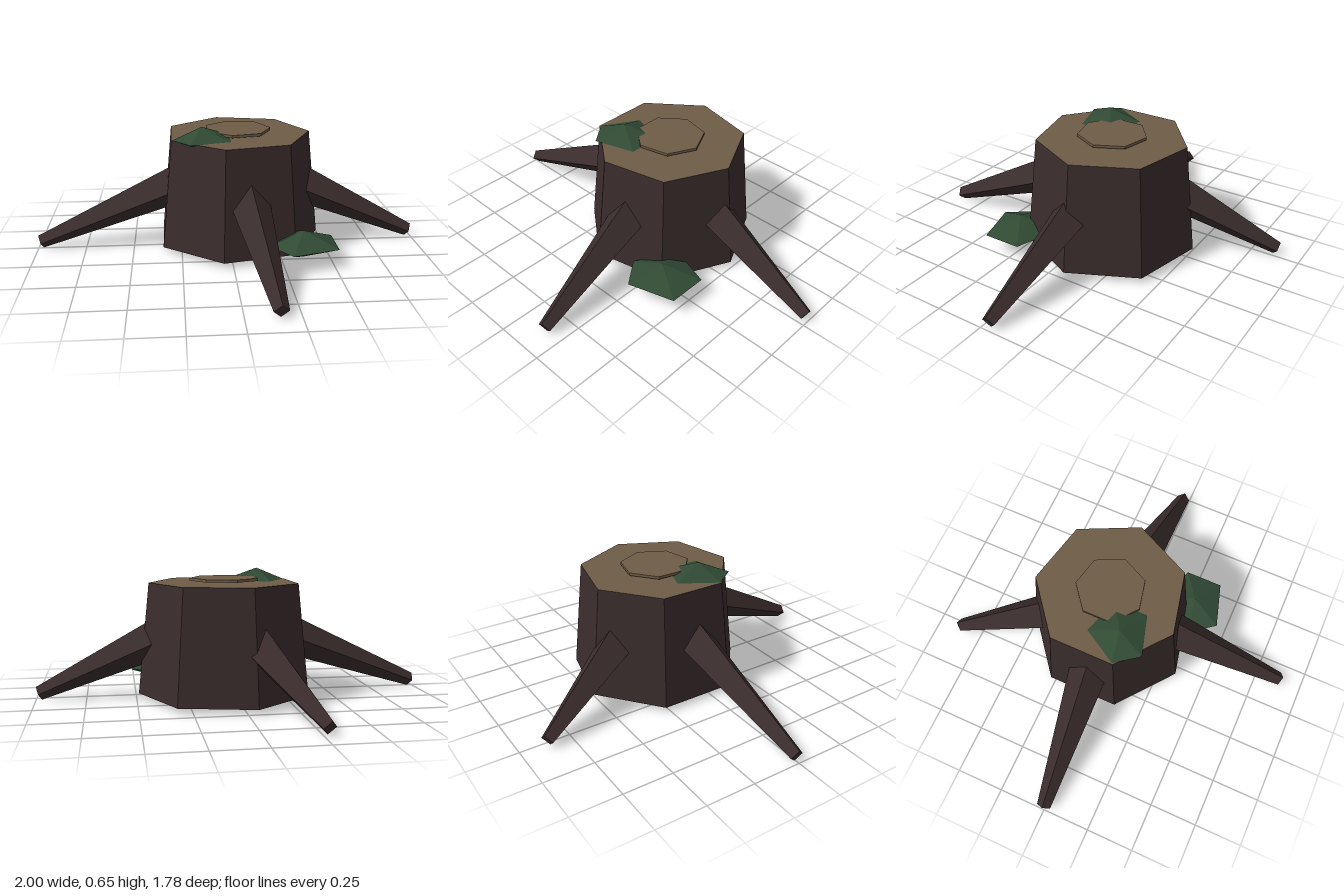
import * as THREE from 'three';

const bark = new THREE.MeshStandardMaterial({ color: 0x3a2c2c, flatShading: true, side: THREE.DoubleSide });
bark.name = 'darkBark';
const wood = new THREE.MeshStandardMaterial({ color: 0x6e5c46, flatShading: true, side: THREE.DoubleSide });
wood.name = 'cutWood';
const moss = new THREE.MeshStandardMaterial({ color: 0x304a34, flatShading: true });
moss.name = 'moss';

const SIDES = 7;
const CX = 0.05, CZ = -0.084; // trunk axis

function add(group, name, geometry, material, x = 0, y = 0, z = 0) {
  const mesh = new THREE.Mesh(geometry, material);
  mesh.name = name;
  mesh.position.set(x, y, z);
  group.add(mesh);
  return mesh;
}

// Four-sided tapering root running outward and down from inside the trunk
function addRoot(group, name, tipX, tipZ) {
  const tip = new THREE.Vector3(tipX, 0.037, tipZ);
  const out = new THREE.Vector3(tipX - CX, 0, tipZ - CZ).normalize();
  const start = new THREE.Vector3(CX, 0.345, CZ).addScaledVector(out, 0.25);
  const along = tip.clone().sub(start);
  const geometry = new THREE.CylinderGeometry(0.036, 0.11, along.length(), 4);
  const yAxis = along.clone().normalize();
  const xAxis = new THREE.Vector3().crossVectors(yAxis, new THREE.Vector3(0, 1, 0)).normalize();
  const zAxis = new THREE.Vector3().crossVectors(xAxis, yAxis);
  const mid = start.add(tip).multiplyScalar(0.5);
  const root = add(group, name, geometry, bark, mid.x, mid.y, mid.z);
  root.quaternion.setFromRotationMatrix(new THREE.Matrix4().makeBasis(xAxis, yAxis, zAxis));
}

// Irregular five-sided clump with a point above and below its rim
function mossGeometry() {
  const rim = [[0.165, 0.095], [-0.07, 0.165], [-0.17, 0.03], [-0.05, -0.175], [0.165, -0.105]];
  const positions = [];
  rim.forEach(([x, z], i) => {
    const [nx, nz] = rim[(i + 1) % rim.length];
    positions.push(0, 0.07, 0, nx, 0, nz, x, 0, z);
    positions.push(0, -0.07, 0, x, 0, z, nx, 0, nz);
  });
  // Turn each face outward: rim runs from +x to +z
  const geometry = new THREE.BufferGeometry();
  geometry.setAttribute('position', new THREE.Float32BufferAttribute(positions, 3));
  geometry.computeVertexNormals();
  return geometry;
}

export function createModel() {
  const group = new THREE.Group();
  group.name = 'treeStump';

  // Trunk wall, open underneath
  const wall = new THREE.CylinderGeometry(0.381, 0.4385, 0.56, SIDES, 1, true).rotateY(Math.PI / 2);
  add(group, 'trunk', wall, bark, CX, 0.31, CZ);

  // Cut face and the raised growth ring
  const face = new THREE.CircleGeometry(0.381, SIDES).rotateX(-Math.PI / 2);
  add(group, 'cutFace', face, wood, CX, 0.59, CZ);
  const ring = new THREE.CylinderGeometry(0.176, 0.176, 0.014, SIDES).rotateY(Math.PI / 2);
  add(group, 'growthRing', ring, wood, CX, 0.605, CZ);

  // Roots
  addRoot(group, 'rightRoot', -0.987, -0.005);
  addRoot(group, 'leftRoot', 0.985, -0.035);
  addRoot(group, 'frontRoot', 0.158, 0.877);
  addRoot(group, 'backRoot', -0.278, -0.873);

  // Moss
  add(group, 'groundMoss', mossGeometry(), moss, 0.35, 0.1, 0.285);
  add(group, 'topMoss', mossGeometry(), moss, -0.14, 0.59, 0.05).scale.setScalar(0.87);

  return group;
}
